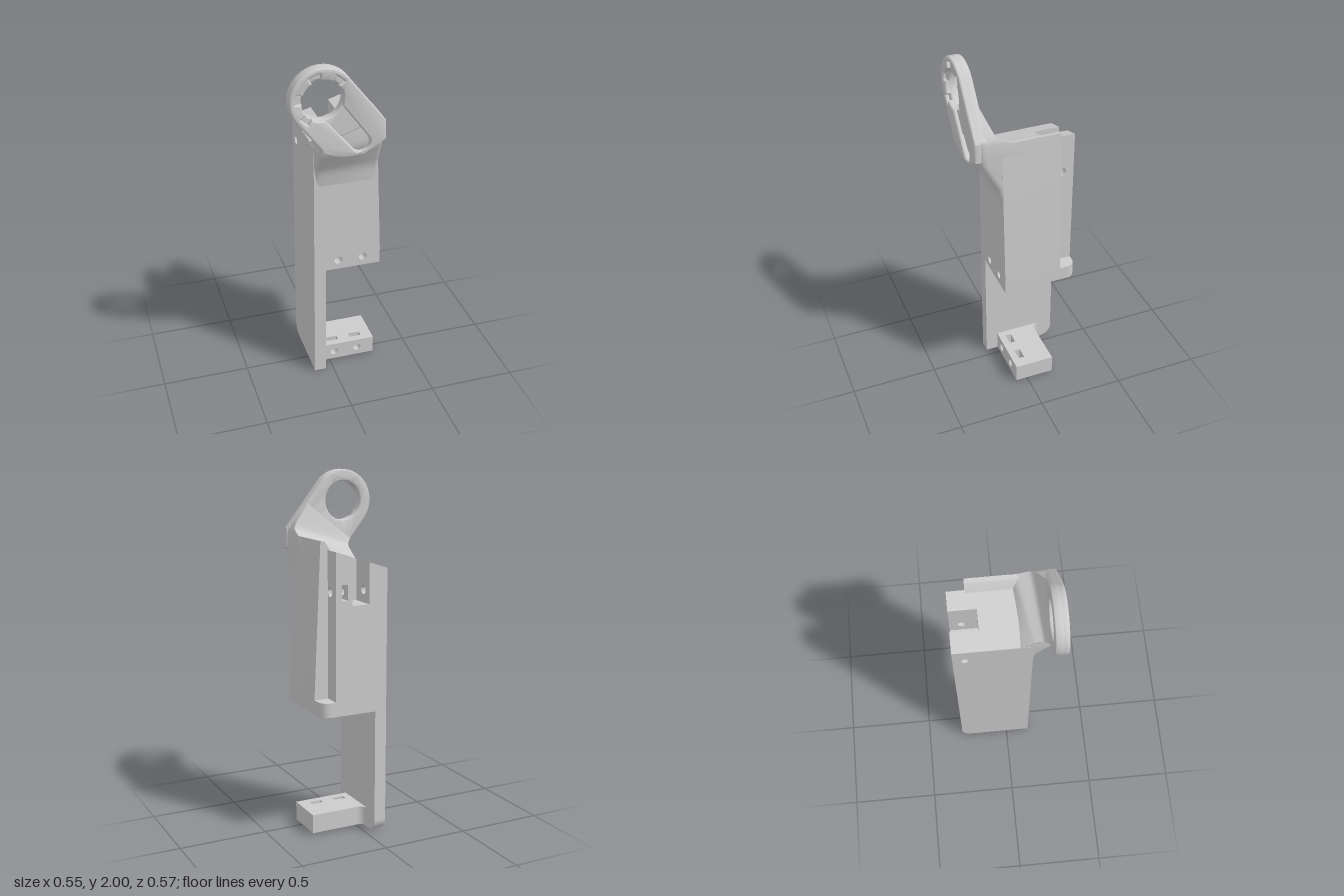
import * as THREE from 'three';
import { toCreasedNormals, mergeVertices } from 'three/addons/utils/BufferGeometryUtils.js';

const material = new THREE.MeshStandardMaterial({ color: 0xcccccc });
const V = (x, y) => new THREE.Vector2(x, y);
const poly = (pts) => new THREE.Shape(pts.map((p) => V(p[0], p[1])));
const rect = (x0, y0, x1, y1) => poly([[x0, y0], [x1, y0], [x1, y1], [x0, y1]]);
const circle = (x, y, r) => new THREE.Path().absarc(x, y, r, 0, Math.PI * 2, true);

function addMesh(group, name, geometry) {
  const mesh = new THREE.Mesh(toCreasedNormals(geometry, 0.6), material);
  mesh.name = name;
  group.add(mesh);
  return mesh;
}

// Extrude a shape from a to b along an axis. For x and y the shape uses -z as its free coordinate.
function slab(group, name, axis, shape, a, b, holes = [], bevel = 0) {
  shape.holes.push(...holes);
  const g = new THREE.ExtrudeGeometry(shape, {
    depth: b - a - 2 * bevel, curveSegments: 24, bevelEnabled: bevel > 0,
    bevelSize: bevel, bevelThickness: bevel, bevelOffset: -bevel, bevelSegments: 4,
  });
  g.translate(0, 0, a + bevel);
  if (axis === 'x') g.rotateY(Math.PI / 2);
  if (axis === 'y') g.rotateX(-Math.PI / 2);
  return addMesh(group, name, g);
}

const LEFT = -0.113, RIGHT = 0.277, BACK = -0.287, FRONT = 0.14;
const topY = (x) => 1.5 + (x - LEFT) * 0.325;
const SCREWS = [0.03, 0.175];

// Outline of the main block; extra points can be cut into its bottom or top edge
function bodyOutline(bottom = [], top = []) {
  return poly([[LEFT, 0.71], ...bottom, [RIGHT, 0.71], [RIGHT, 0.8], [0.237, 1.65],
    [0.212, 1.645], [0.197, 1.625], [0.18, topY(0.18)], ...top, [LEFT, topY(LEFT)]]);
}

function buildBody(group) {
  const body = new THREE.Group();
  body.name = 'body';
  group.add(body);
  const slots = SCREWS.flatMap((x) => [[x - 0.032, 0.71], [x - 0.032, 0.81], [x + 0.032, 0.81], [x + 0.032, 0.71]]);
  const pocket = [[0.097, topY(0.097)], [0.097, 1.31], [-0.005, 1.31], [-0.005, topY(-0.005)]];
  slab(body, 'bodyFront', 'z', bodyOutline(), 0.09, FRONT, SCREWS.map((x) => circle(x, 0.767, 0.023)));
  slab(body, 'bodyNutSlots', 'z', bodyOutline(slots), 0.06, 0.09);
  slab(body, 'bodyCore', 'z', bodyOutline(), -0.135, 0.06);
  slab(body, 'bodyPocket', 'z', bodyOutline([], pocket), -0.19, -0.135);

  // Rear part, set in at the corner above a ledge
  slab(body, 'rearPanel', 'z', rect(LEFT, 0.79, 0.195, 1.31), BACK, -0.19);
  const ledge = new THREE.Shape();
  ledge.moveTo(LEFT, 0.19).lineTo(RIGHT, 0.19).lineTo(RIGHT, 0.237);
  ledge.absarc(RIGHT - 0.05, 0.237, 0.05, 0, Math.PI / 2, false).lineTo(LEFT, -BACK);
  slab(body, 'rearLedge', 'y', ledge, 0.71, 0.79);

  // Pocket walls with a cross hole, the outer one with a nut slot
  const wall = (x0, x1, slot) => {
    const shape = slot
      ? poly([[0.19, 1.31], [-BACK, 1.31], [-BACK, 1.34], [0.2, 1.34], [0.2, 1.425], [-BACK, 1.425], [-BACK, 1.5], [0.19, 1.5]])
      : rect(0.19, 1.31, -BACK, 1.5);
    const mesh = slab(body, 'pocketWall', 'x', shape, x0, x1, slot ? [] : [circle(0.217, 1.38, 0.025)]);
    const p = mesh.geometry.attributes.position;
    for (let i = 0; i < p.count; i++) if (p.getY(i) > 1.45) p.setY(i, topY(p.getX(i)));
    mesh.geometry = toCreasedNormals(mesh.geometry, 0.6);
  };
  wall(LEFT, -0.005, false);
  wall(0.097, 0.125, false);
  wall(0.125, 0.16, true);
  wall(0.16, 0.195, false);
}

function buildFoot(group) {
  // Tall side plate with a rounded lower back corner
  const plate = new THREE.Shape();
  plate.moveTo(-FRONT, 0).lineTo(-BACK - 0.07, 0);
  plate.absarc(-BACK - 0.07, 0.07, 0.07, -Math.PI / 2, 0, false).lineTo(-BACK, 0.71).lineTo(-FRONT, 0.71);
  slab(group, 'sidePlate', 'x', plate, LEFT, -0.045);

  const foot = new THREE.Group();
  foot.name = 'foot';
  group.add(foot);
  const y0 = 0.008, y1 = 0.115, x0 = -0.045;
  slab(foot, 'footFront', 'z', rect(x0, y0, RIGHT, y1), 0.03, 0.07, SCREWS.map((x) => circle(x, 0.06, 0.023)));
  const edges = [x0, ...SCREWS.flatMap((x) => [x - 0.035, x + 0.035]), RIGHT];
  for (let i = 0; i < edges.length; i += 2) {
    slab(foot, 'footSlotWall', 'z', rect(edges[i], y0, edges[i + 1], y1), -0.005, 0.03);
  }
  slab(foot, 'footRear', 'z', rect(x0, y0, RIGHT, y1), -0.16, -0.005);
  // Fillet between foot and plate
  const fillet = new THREE.Shape();
  fillet.moveTo(x0, 0.16).lineTo(x0 + 0.045, 0.16);
  fillet.absarc(x0 + 0.045, 0.205, 0.045, -Math.PI / 2, -Math.PI, true);
  slab(foot, 'footFillet', 'y', fillet, y0, y1);
}

// Neck: rows of left and right ends [x, y, front z, back z] swept from block to arm
function buildNeck(group) {
  const left = [[-0.112, 1.25, 0.138, 0], [-0.112, 1.36, 0.16, 0], [-0.112, 1.43, 0.205, 0.02], [-0.112, 1.5, 0.255, 0.07],
    [-0.112, 1.55, 0.262, 0.14], [-0.122, 1.575, 0.262, 0.19], [-0.149, 1.61, 0.262, 0.217]];
  const right = [[0.255, 1.25, 0.138, 0], [0.25, 1.36, 0.16, 0], [0.245, 1.45, 0.205, 0], [0.241, 1.55, 0.255, 0.02],
    [0.238, 1.64, 0.262, 0.07], [0.228, 1.685, 0.262, 0.16], [0.117, 1.82, 0.262, 0.217]];
  const curve = (rows) => new THREE.CatmullRomCurve3(rows.map((r) => new THREE.Vector3(r[0], r[1], r[2])));
  const cl = curve(left), cr = curve(right);
  const backs = new THREE.CatmullRomCurve3(left.map((r, i) => new THREE.Vector3(r[3], right[i][3], 0)));
  // [position across, drop from the front], null means the back face
  const section = [[0, 0.035], [0.012, 0.018], [0.035, 0.006], [0.08, 0], [0.5, 0], [0.92, 0], [0.965, 0.006],
    [0.988, 0.018], [1, 0.035], [1, null], [0.75, null], [0.5, null], [0.25, null], [0, null]];
  const N = 36, M = section.length, pos = [], index = [];
  for (let i = 0; i <= N; i++) {
    const l = cl.getPoint(i / N), r = cr.getPoint(i / N), b = backs.getPoint(i / N);
    for (const [u, drop] of section) {
      const p = l.clone().lerp(r, u);
      const back = THREE.MathUtils.lerp(b.x, b.y, u);
      pos.push(p.x, p.y, drop === null ? back : Math.max(p.z - drop, back));
    }
  }
  for (let i = 0; i < N; i++) {
    for (let j = 0; j < M; j++) {
      const a = i * M + j, b = i * M + (j + 1) % M;
      index.push(a, b, b + M, a, b + M, a + M);
    }
  }
  const g = new THREE.BufferGeometry();
  g.setAttribute('position', new THREE.Float32BufferAttribute(pos, 3));
  g.setIndex(index);
  addMesh(group, 'neck', mergeVertices(g));
}

function buildArm(group) {
  const c = V(-0.103, 1.825), R = 0.175;
  const d = V(0.62, -0.785), n = V(0.785, 0.62);
  const at = (across, along) => c.clone().addScaledVector(n, across).addScaledVector(d, along);
  const a0 = Math.atan2(n.y, n.x);
  const outline = () => new THREE.Shape().absarc(c.x, c.y, R, a0, a0 + Math.PI, false);

  // Back layer: plain ring with its arm
  const back = outline();
  for (const p of [at(-R, 0.19), at(R, 0.32)]) back.lineTo(p.x, p.y);
  slab(group, 'ringArm', 'z', back, 0.215, 0.267, [circle(c.x, c.y, 0.11)], 0.011);

  // Front layer: hole widened by notches and a tapering groove that ends round
  const front = outline();
  const l = at(-R, 0.205);
  front.lineTo(l.x, l.y).lineTo(-0.108, 1.53);
  front.quadraticCurveTo(0.08, 1.44, 0.238, 1.57).lineTo(0.235, 1.678);
  const dir = Math.atan2(d.y, d.x), pts = [];
  const notches = [[1.6, 2.0], [2.55, 3.0], [3.7, 4.1], [4.7, 5.05]];
  const ring = (a, r) => pts.push(V(c.x + r * Math.cos(dir + a), c.y + r * Math.sin(dir + a)));
  const stops = [0.55, ...notches.flat(), 2 * Math.PI - 0.55];
  for (let i = 0; i < stops.length - 1; i++) {
    for (let k = 0; k <= 6; k++) ring(THREE.MathUtils.lerp(stops[i], stops[i + 1], k / 6), i % 2 ? 0.145 : 0.111);
  }
  for (let k = 0; k <= 12; k++) {
    const t = (k / 12) * Math.PI;
    pts.push(at(-0.05 * Math.cos(t), 0.33 + 0.05 * Math.sin(t)));
  }
  slab(group, 'armFace', 'z', front, 0.25, 0.288, [new THREE.Path(pts)], 0.011);
}

export function createModel() {
  const group = new THREE.Group();
  group.name = 'bracket';
  buildBody(group);
  buildFoot(group);
  buildNeck(group);
  buildArm(group);
  return group;
}
